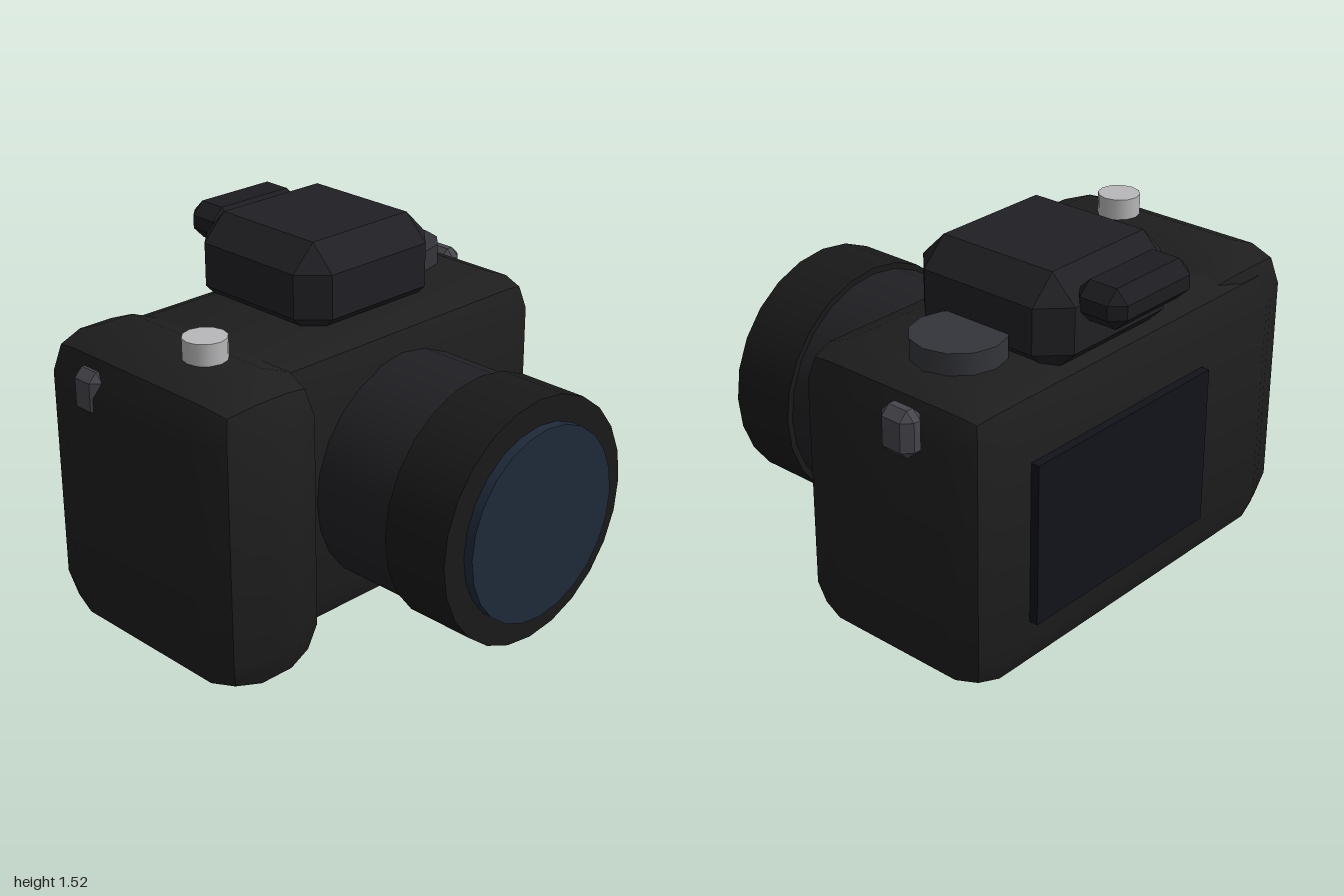
import * as THREE from 'three';
import { toCreasedNormals } from 'three/addons/utils/BufferGeometryUtils.js';
import { RoundedBoxGeometry } from 'three/addons/geometries/RoundedBoxGeometry.js';
import { ConvexGeometry } from 'three/addons/geometries/ConvexGeometry.js';

// Box with edges rounded in two steps
function roundedBox([w, h, d], r) {
  return toCreasedNormals(new RoundedBoxGeometry(w, h, d, 1, r), 0.6);
}

// Box with every edge cut by one flat chamfer
function chamferBox([w, h, d], c) {
  const half = [w / 2, h / 2, d / 2];
  const points = [];
  for (const sx of [-1, 1]) for (const sy of [-1, 1]) for (const sz of [-1, 1]) {
    for (let axis = 0; axis < 3; axis++) {
      const p = half.map((v, i) => (i === axis ? v : v - c));
      points.push(new THREE.Vector3(p[0] * sx, p[1] * sy, p[2] * sz));
    }
  }
  return new ConvexGeometry(points);
}

export function createModel() {
  const model = new THREE.Group();

  const add = (name, geometry, color, [x, y, z]) => {
    const mesh = new THREE.Mesh(geometry, new THREE.MeshStandardMaterial({ color }));
    mesh.name = name;
    mesh.position.set(x, y, z);
    model.add(mesh);
    return mesh;
  };

  // Main housing and hand grip
  add('body', roundedBox([1.84, 1.185, 0.92], 0.16), 0x1e1e1f, [0, 0.6075, -0.295]);
  add('grip', roundedBox([0.53, 1.25, 1.11], 0.19), 0x1e1e1f, [-0.725, 0.625, -0.19]);

  // Viewfinder hump and eyepiece
  add('viewfinderHump', chamferBox([0.72, 0.39, 0.72], 0.105), 0x201f23, [0.13, 1.325, -0.36]);
  add('eyepiece', chamferBox([0.455, 0.155, 0.22], 0.05), 0x1d1d21, [0.128, 1.4175, -0.775]);

  // Lens sections: name, radius, back z, front z, colour
  const lens = [
    ['lensBarrel', 0.475, 0.1, 0.56, 0x201f23],
    ['lensRing', 0.5, 0.55, 0.845, 0x19191a],
    ['lensGlass', 0.395, 0.8, 0.885, 0x1f2a3a],
  ];
  for (const [name, r, back, front, color] of lens) {
    const geometry = new THREE.CylinderGeometry(r, r, front - back, 24).rotateX(Math.PI / 2);
    add(name, geometry, color, [0.103, 0.602, (back + front) / 2]);
  }

  // Top controls
  add('modeDial', new THREE.CylinderGeometry(0.18, 0.18, 0.12, 12), 0x34353a, [0.59, 1.225, -0.362]);
  add('shutterButton', new THREE.CylinderGeometry(0.086, 0.086, 0.085, 12), 0xb8b8ba, [-0.728, 1.2925, -0.035]);

  // Rear screen
  add('screen', new THREE.BoxGeometry(0.99, 0.655, 0.06), 0x11131a, [0.155, 0.6025, -0.76]);

  // Strap lugs on both sides
  for (const side of [-1, 1]) {
    add(side > 0 ? 'leftStrapLug' : 'rightStrapLug',
      chamferBox([0.1, 0.185, 0.155], 0.035), 0x45454c, [side * 0.948, 1.0625, -0.425]);
  }

  return model;
}
